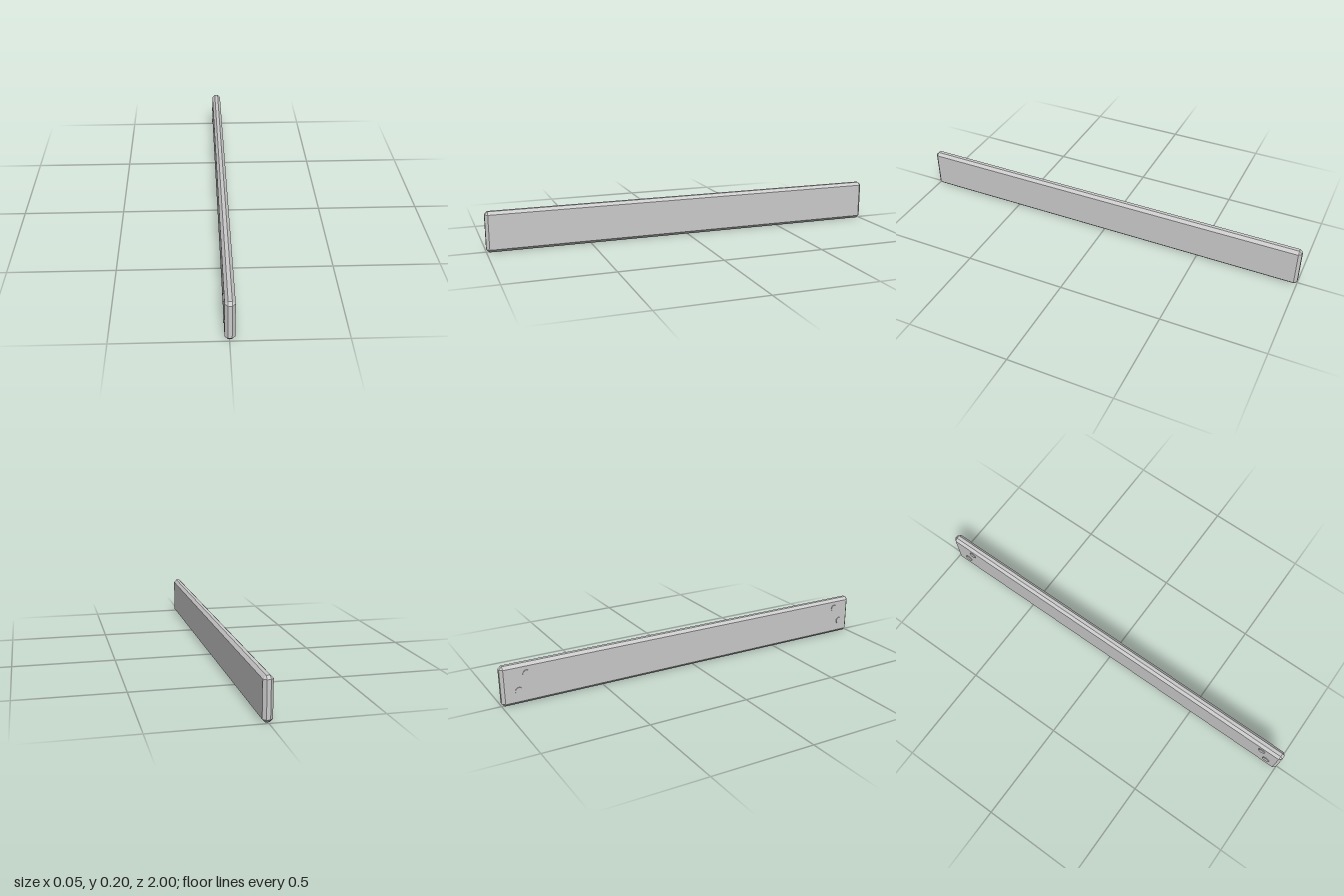
import * as THREE from 'three';
import { ConvexGeometry } from 'three/addons/geometries/ConvexGeometry.js';

const material = new THREE.MeshStandardMaterial({ color: 0xcccccc, flatShading: true });

// Box with every edge and corner cut flat: each corner becomes a triangle
function chamferedBox(width, height, depth, c) {
  const half = [width / 2, height / 2, depth / 2];
  const points = [];
  for (const sx of [-1, 1]) for (const sy of [-1, 1]) for (const sz of [-1, 1]) {
    for (let face = 0; face < 3; face++) {
      const p = half.map((h, axis) => (axis === face ? h : h - c));
      points.push(new THREE.Vector3(sx * p[0], sy * p[1], sz * p[2]));
    }
  }
  return new ConvexGeometry(points);
}

export function createModel() {
  const group = new THREE.Group();

  // Long bevelled plank
  const plank = new THREE.Mesh(chamferedBox(0.045, 0.196, 2, 0.014), material);
  plank.name = 'plank';
  plank.position.set(0.002, 0.098, 0);
  group.add(plank);

  // Two slightly raised nail heads near each end, on the right face
  const headGeometry = new THREE.CylinderGeometry(0.018, 0.018, 0.01, 16);
  headGeometry.rotateZ(Math.PI / 2);
  const heads = [[0.146, -0.878], [0.068, -0.919], [0.146, 0.899], [0.068, 0.938]];
  heads.forEach(([y, z], i) => {
    const head = new THREE.Mesh(headGeometry, material);
    head.name = `nailHead${i + 1}`;
    head.position.set(-0.0195, y, z);
    group.add(head);
  });

  return group;
}
